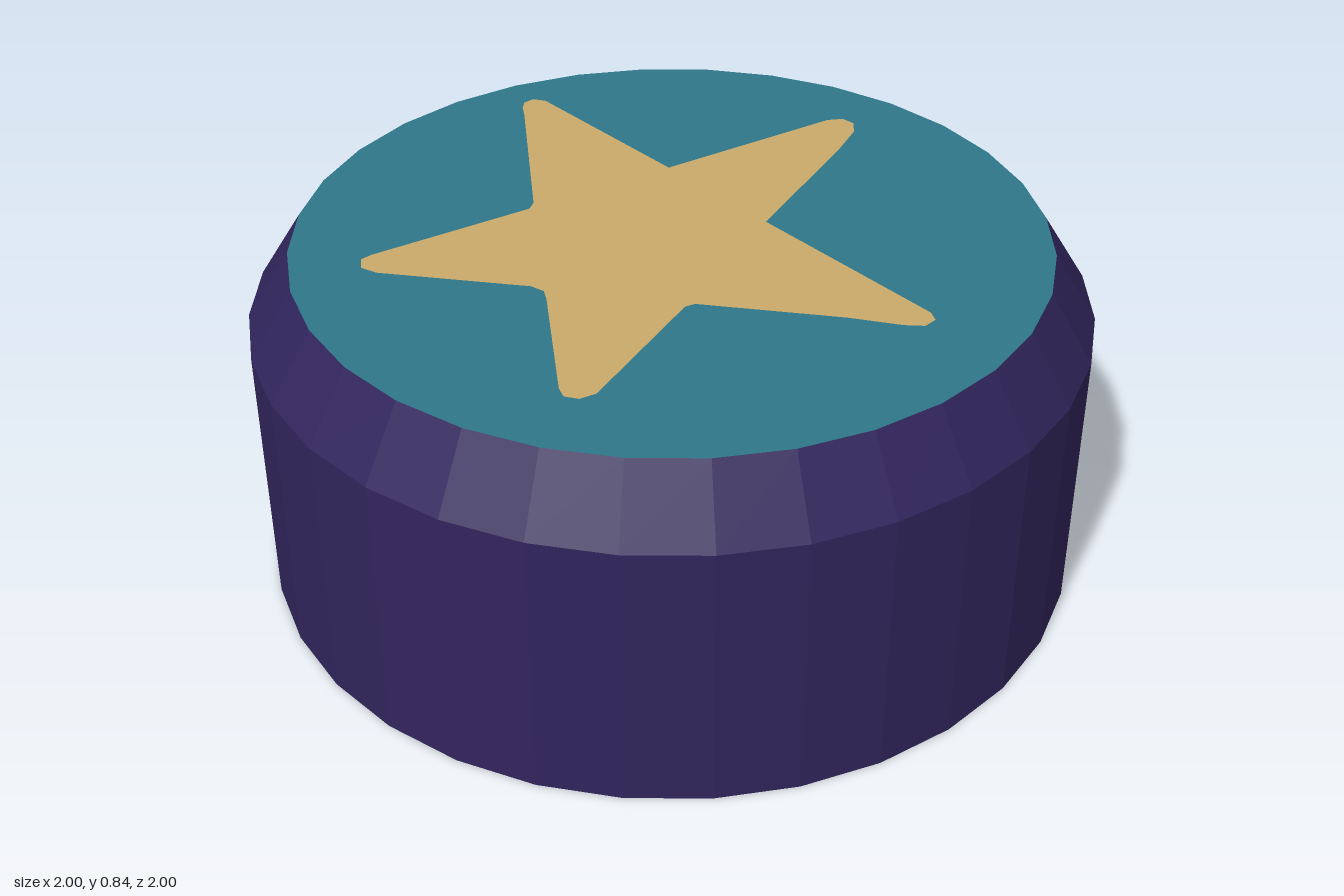
import * as THREE from 'three';

const SIDES = 32, HEIGHT = 0.84, SHOULDER = 0.675, TOP_RADIUS = 0.895;

// star outline as [x, z], with blunt rounded tips
const STAR = [
  [0.09, -0.72], [0.11, -0.755], [0.13, -0.776], [0.16, -0.778], [0.18, -0.75], [0.20, -0.26],
  [0.68, -0.205], [0.715, -0.185], [0.72, -0.15], [0.69, -0.115], [0.60, -0.07], [0.40, 0.015], [0.21, 0.095],
  [0.228, 0.63], [0.215, 0.658], [0.18, 0.662], [0.145, 0.63], [0.07, 0.53], [-0.155, 0.275], [-0.18, 0.27],
  [-0.54, 0.42], [-0.58, 0.413], [-0.60, 0.385], [-0.59, 0.355], [-0.40, 0.05], [-0.385, 0.02], [-0.395, -0.015],
  [-0.635, -0.285], [-0.65, -0.325], [-0.63, -0.358], [-0.60, -0.36], [-0.19, -0.308], [-0.165, -0.325],
];

function material(name, color) {
  const m = new THREE.MeshStandardMaterial({ color });
  m.name = name;
  return m;
}

export function createModel() {
  const group = new THREE.Group();
  const purple = material('darkPurple', 0x31255c);
  purple.flatShading = true;
  const teal = material('teal', 0x2e7789);
  const sand = material('sand', 0xcaaa6b);

  const add = (name, geometry, mat, y) => {
    const mesh = new THREE.Mesh(geometry, mat);
    mesh.name = name;
    mesh.position.y = y;
    group.add(mesh);
  };

  // body: straight wall with closed underside
  const body = new THREE.CylinderGeometry(1, 1, SHOULDER, SIDES);
  add('body', body, purple, SHOULDER / 2);

  // sloped rim up to the top face
  const rimHeight = HEIGHT - SHOULDER;
  const rim = new THREE.CylinderGeometry(TOP_RADIUS, 1, rimHeight, SIDES, 1, true);
  add('bevelRim', rim, purple, SHOULDER + rimHeight / 2);

  // top face
  add('topFace', new THREE.CircleGeometry(TOP_RADIUS, SIDES).rotateX(-Math.PI / 2), teal, HEIGHT);

  // painted star
  const shape = new THREE.Shape(STAR.map(([x, z]) => new THREE.Vector2(x, -z)));
  add('star', new THREE.ShapeGeometry(shape).rotateX(-Math.PI / 2), sand, HEIGHT + 0.003);

  return group;
}
